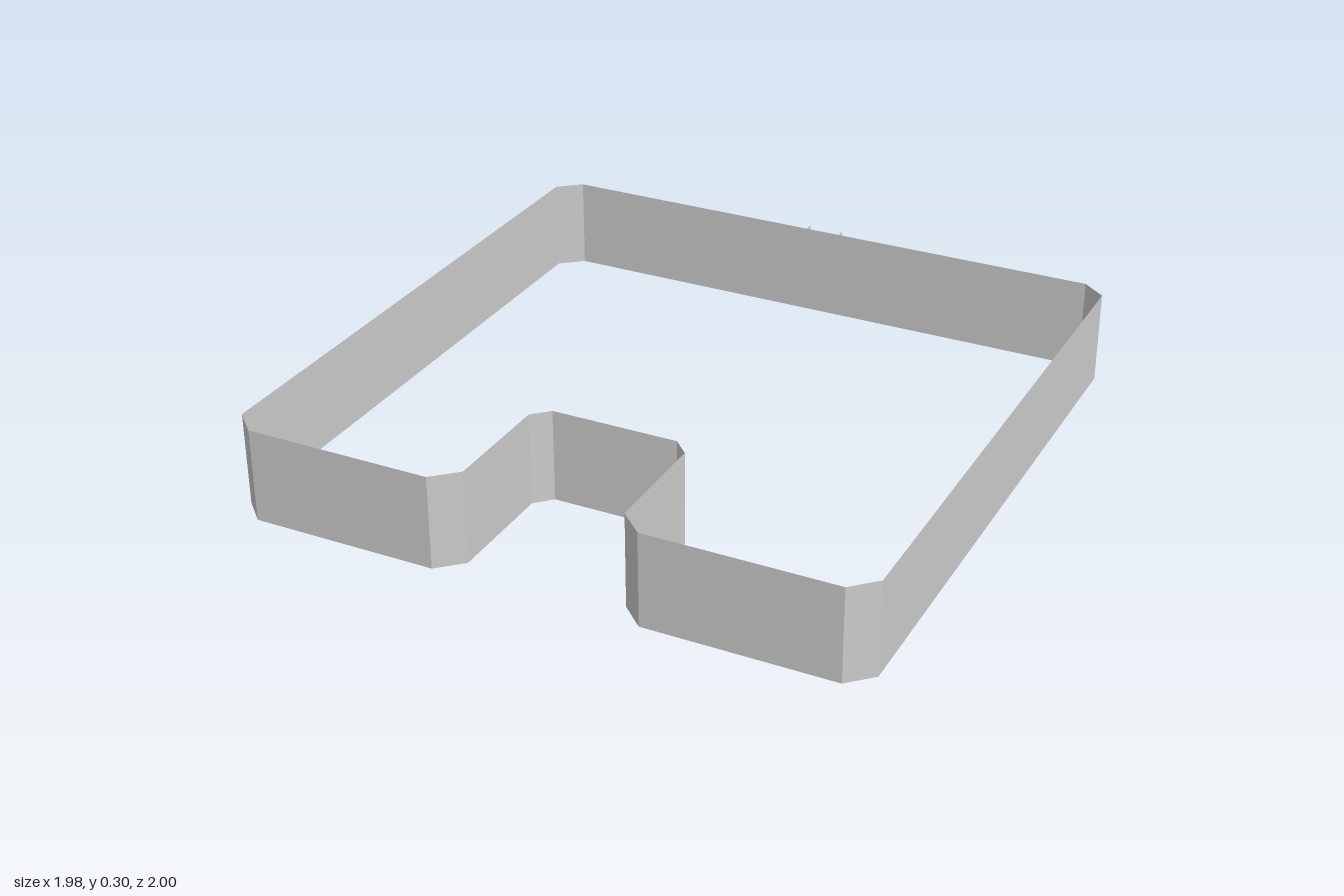
import * as THREE from 'three';

const HEIGHT = 0.296;
const material = new THREE.MeshStandardMaterial({
  color: 0xcccccc, flatShading: true, side: THREE.DoubleSide,
});

// Upright strip of flat panels following a list of [x, z] points
function strip(name, points) {
  const pos = [];
  for (let i = 0; i < points.length - 1; i++) {
    const [ax, az] = points[i];
    const [bx, bz] = points[i + 1];
    pos.push(ax, 0, az, bx, 0, bz, bx, HEIGHT, bz);
    pos.push(ax, 0, az, bx, HEIGHT, bz, ax, HEIGHT, az);
  }
  const geometry = new THREE.BufferGeometry();
  geometry.setAttribute('position', new THREE.Float32BufferAttribute(pos, 3));
  geometry.computeVertexNormals();
  const mesh = new THREE.Mesh(geometry, material);
  mesh.name = name;
  return mesh;
}

export function createModel() {
  const model = new THREE.Group();
  model.name = 'notchedBand';

  // Left half of the outline, from the notch floor round to the back
  const half = [
    [0.2, 0.52], [0.25, 0.57], [0.25, 0.93], [0.325, 1],
    [0.915, 1], [0.988, 0.93], [0.988, -0.91], [0.915, -0.97],
  ];
  const mirrored = half.map(([x, z]) => [-x, z]).reverse();

  // Closed wall with chamfered corners and a notch in the front
  model.add(strip('wall', [...half, ...mirrored, half[0]]));

  // Two thin fins standing out from the back wall
  for (const [name, x] of [['leftFin', 0.058], ['rightFin', -0.058]]) {
    model.add(strip(name, [[x, -0.97], [x, -1]]));
  }
  return model;
}
